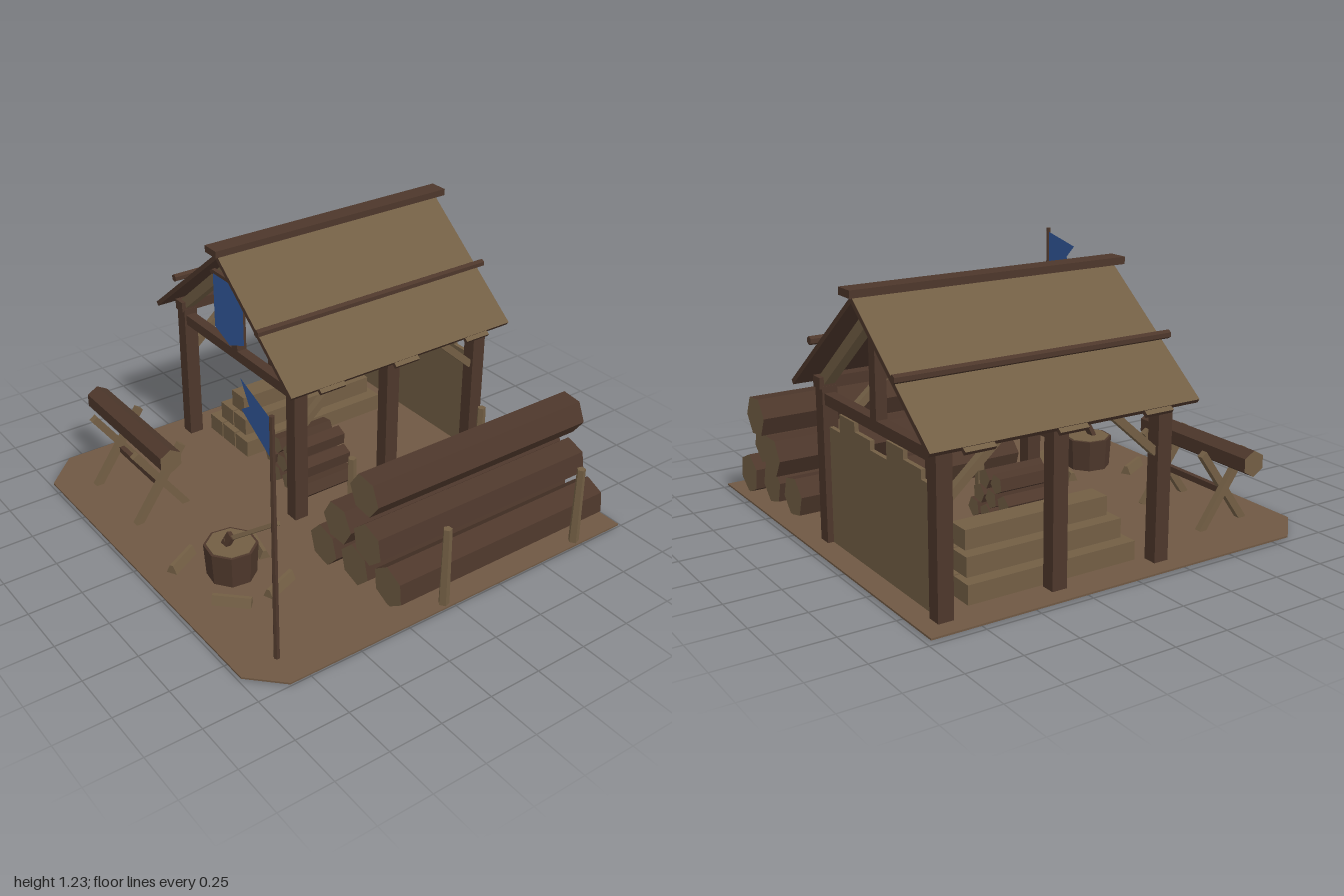
import * as THREE from 'three';

const mat = (name, color, side = THREE.FrontSide) => {
  const m = new THREE.MeshStandardMaterial({ color, side });
  m.name = name;
  return m;
};

export function createModel() {
  const model = new THREE.Group();
  const earth = mat('earth', 0x6f5843);
  const tan = mat('pale wood', 0x725e44);
  const dark = mat('dark wood', 0x4d372b);
  const blue = mat('blue cloth', 0x335a9e, THREE.DoubleSide);
  const UP = new THREE.Vector3(0, 1, 0);
  const V = (x, y, z) => new THREE.Vector3(x, y, z);
  const FLOOR = 0.015;

  const add = (name, geo, material, parent = model) => {
    const mesh = new THREE.Mesh(geo, material);
    mesh.name = name;
    parent.add(mesh);
    return mesh;
  };
  const group = (name) => {
    const g = new THREE.Group();
    g.name = name;
    model.add(g);
    return g;
  };
  // box given by its extents
  const box = (name, x0, x1, y0, y1, z0, z1, material, parent) => {
    const m = add(name, new THREE.BoxGeometry(x1 - x0, y1 - y0, z1 - z0), material, parent);
    m.position.set((x0 + x1) / 2, (y0 + y1) / 2, (z0 + z1) / 2);
    return m;
  };
  // place a y-aligned mesh between two points
  const span = (mesh, a, b) => {
    mesh.position.copy(a).add(b).multiplyScalar(0.5);
    mesh.quaternion.setFromUnitVectors(UP, b.clone().sub(a).normalize());
    return mesh;
  };
  const bar = (name, a, b, w, d, material, parent) =>
    span(add(name, new THREE.BoxGeometry(w, a.distanceTo(b), d), material, parent), a, b);
  // faceted round timber; turn rotates its facets
  const rod = (name, a, b, r, sides, material, parent, turn = 0, rTop = r) => {
    const geo = new THREE.CylinderGeometry(rTop, r, a.distanceTo(b), sides, 1, false, turn).toNonIndexed();
    geo.computeVertexNormals();
    return span(add(name, geo, material, parent), a, b);
  };
  const polygon = (points) => new THREE.Shape(points.map(([x, y]) => new THREE.Vector2(x, y)));

  // ground plate with two cut corners
  const ground = add('ground', new THREE.ExtrudeGeometry(
    polygon([[-0.98, -0.99], [-0.98, -0.83]].slice(1).concat([[-0.82, -0.99], [0.86, -0.99], [1, -0.85], [1, 0.98], [-0.98, 0.98]])),
    { depth: 0.008, bevelEnabled: false }), earth);
  ground.rotation.x = -Math.PI / 2;
  ground.position.y = 0.008;

  // shed frame
  const shed = group('shedFrame');
  const CX = -0.39, HALF = 0.472, frames = [0.18, -0.34, -0.865];
  for (const s of [-1, 1]) {
    const x = CX + s * HALF;
    for (const z of frames) {
      box('post', x - 0.033, x + 0.033, FLOOR - 0.008, 0.72, z - 0.035, z + 0.035, dark, shed);
      bar('rafter', V(x, 0.735, z), V(CX, 1.125, z), 0.05, 0.05, tan, shed);
    }
    box('wallPlate', x - 0.031, x + 0.031, 0.71, 0.76, -0.91, 0.225, dark, shed);
    bar('frontBrace', V(x, 0.5, 0.15), V(x, 0.72, -0.1), 0.035, 0.035, tan, shed);
    bar('rearBrace', V(x, 0.5, -0.835), V(x, 0.72, -0.585), 0.035, 0.035, tan, shed);
  }
  for (const z of frames) {
    box('tieBeam', CX - HALF, CX + HALF, 0.64, 0.69, z - 0.025, z + 0.025, dark, shed);
    box('kingPost', CX - 0.025, CX + 0.025, 0.69, 1.14, z - 0.025, z + 0.025, dark, shed);
  }

  // back wall of uneven boards
  const wall = group('backWall');
  [0.54, 0.58, 0.62, 0.54, 0.58, 0.62, 0.54].forEach((top, i) => {
    const x = -0.87 + i * 0.137;
    box('wallBoard', x, x + 0.137, FLOOR, top, -0.872, -0.852, tan, wall);
  });

  // roof slopes, mirrored about the ridge
  const roof = group('roof');
  const RUN = 0.58, RISE = 0.46, LEN = Math.hypot(RUN, RISE), pitch = Math.atan2(RISE, RUN);
  const roofMats = [dark, dark, tan, dark, dark, dark];
  for (const s of [-1, 1]) {
    const slope = new THREE.Group();
    slope.name = 'roofSlope';
    slope.position.set(CX, 1.18, -0.343);
    slope.rotation.z = -s * pitch;
    roof.add(slope);
    add('roofPanel', new THREE.BoxGeometry(LEN, 0.022, 1.256), roofMats, slope).position.x = s * LEN / 2;
    for (const z of [-0.765, -0.345, 0.07]) {
      add('eaveBoard', new THREE.BoxGeometry(0.06, 0.018, 0.135), roofMats, slope)
        .position.set(s * (LEN - 0.008), -0.001, z + 0.343);
    }
    const x = CX + s * 0.353;
    rod('roofPole', V(x, 0.95, -0.99), V(x, 0.95, 0.308), 0.019, 6, dark, roof);
  }
  box('ridgeCap', CX - 0.046, CX + 0.046, 1.195, 1.227, -1, 0.312, dark, roof);

  // hanging banner
  const banner = group('banner');
  box('bannerRod', CX - 0.16, CX + 0.16, 1.03, 1.052, 0.205, 0.225, dark, banner);
  add('bannerCloth', new THREE.ShapeGeometry(polygon(
    [[-0.515, 1.04], [-0.515, 0.77], [CX, 0.72], [-0.265, 0.77], [-0.265, 1.04]])), blue, banner).position.z = 0.23;

  // flagpole and swallowtail flag
  const flag = group('flag');
  rod('flagPole', V(0.845, FLOOR - 0.006, 0.81), V(0.845, 1.14, 0.81), 0.014, 6, dark, flag, 0, 0.011);
  const cloth = add('flagCloth', new THREE.ShapeGeometry(polygon(
    [[0, 1.12], [-0.375, 1.1], [-0.27, 1.03], [-0.375, 0.962], [0, 0.945]])), blue, flag);
  cloth.position.set(0.845, 0, 0.81);
  cloth.rotation.y = -0.26;

  // large log stack: x, y, back z, front z, facet turn
  const logs = group('logStack');
  [[0.44, 0.105, -0.885, 0.29, 0.3], [0.64, 0.11, -0.9, 0.27, 0.25], [0.84, 0.108, -0.93, 0.245, 0.1],
    [0.54, 0.28, -0.94, 0.29, 0.52], [0.738, 0.278, -0.895, 0.28, 0.2], [0.64, 0.45, -0.965, 0.225, 0.42],
  ].forEach(([x, y, z0, z1, turn]) =>
    rod('log', V(x, y, z0), V(x, y, z1), 0.098, 6, [dark, tan, tan], logs, turn));
  for (const x of [0.315, 0.97]) for (const z of [-0.72, 0.045]) {
    rod('stake', V(x, FLOOR - 0.008, z), V(x, 0.4, z), 0.025, 5, tan, logs, 0, 0.02);
  }

  // squared timber stack in the shed
  const timbers = group('timberStack');
  [3, 2, 1].forEach((n, row) => {
    for (let i = 0; i < n; i++) {
      const x = -0.645 + (i - (n - 1) / 2) * 0.118, y = FLOOR + row * 0.088;
      box('timber', x - 0.054, x + 0.054, y, y + 0.086, -0.72 + row * 0.03, 0.1 - row * 0.03, tan, timbers);
    }
  });

  // firewood pile in the shed
  const pile = group('firewoodPile');
  [[-0.22, 3], [-0.265, 3], [-0.21, 2]].forEach(([x0, n], row) => {
    for (let i = 0; i < n; i++) {
      const x = x0 + i * 0.1, y = 0.06 + row * 0.082;
      rod('firewood', V(x, y, -0.2), V(x, y, 0.1), 0.047, 5, [dark, tan, tan], pile, (i + row) * 0.7);
    }
  });

  // sawhorse holding a log
  const saw = group('sawhorse');
  for (const x of [-0.706, -0.306]) {
    bar('sawhorseLeg', V(x - 0.016, 0.01, 0.545), V(x - 0.016, 0.36, 0.795), 0.03, 0.035, tan, saw);
    bar('sawhorseLeg', V(x + 0.016, 0.01, 0.82), V(x + 0.016, 0.36, 0.57), 0.03, 0.035, tan, saw);
  }
  box('sawhorseRail', -0.71, -0.3, 0.16, 0.188, 0.67, 0.695, dark, saw);
  rod('sawhorseLog', V(-0.9, 0.355, 0.68), V(-0.19, 0.355, 0.68), 0.06, 6, [dark, tan, tan], saw, Math.PI / 2);

  // chopping block with a bark rim, and an axe
  const chop = group('choppingBlock');
  rod('block', V(0.27, FLOOR - 0.008, 0.66), V(0.27, 0.17, 0.66), 0.11, 8, dark, chop, 0.25, 0.12);
  rod('blockTop', V(0.27, 0.169, 0.66), V(0.27, 0.173, 0.66), 0.108, 8, tan, chop, 0.25);
  bar('axeHandle', V(0.26, 0.19, 0.68), V(0.495, 0.365, 0.56), 0.018, 0.018, tan, chop);
  bar('axeHead', V(0.262, 0.165, 0.685), V(0.285, 0.225, 0.665), 0.04, 0.022, dark, chop);

  // split wood around the block: x, z, heading
  const split = group('splitWood');
  [[0.19, 0.47, -0.23], [0.085, 0.805, -1.06], [0.455, 0.775, 0.8], [0.48, 0.55, -1.2]].forEach(([x, z, heading]) => {
    const geo = new THREE.ExtrudeGeometry(polygon([[-0.026, 0], [0.026, 0], [0.008, 0.042], [-0.008, 0.042]]),
      { depth: 0.17, bevelEnabled: false });
    geo.translate(0, 0, -0.085).rotateY(Math.PI / 2);
    const piece = add('splitPiece', geo, tan, split);
    piece.position.set(x, FLOOR, z);
    piece.rotation.y = heading;
  });

  return model;
}
